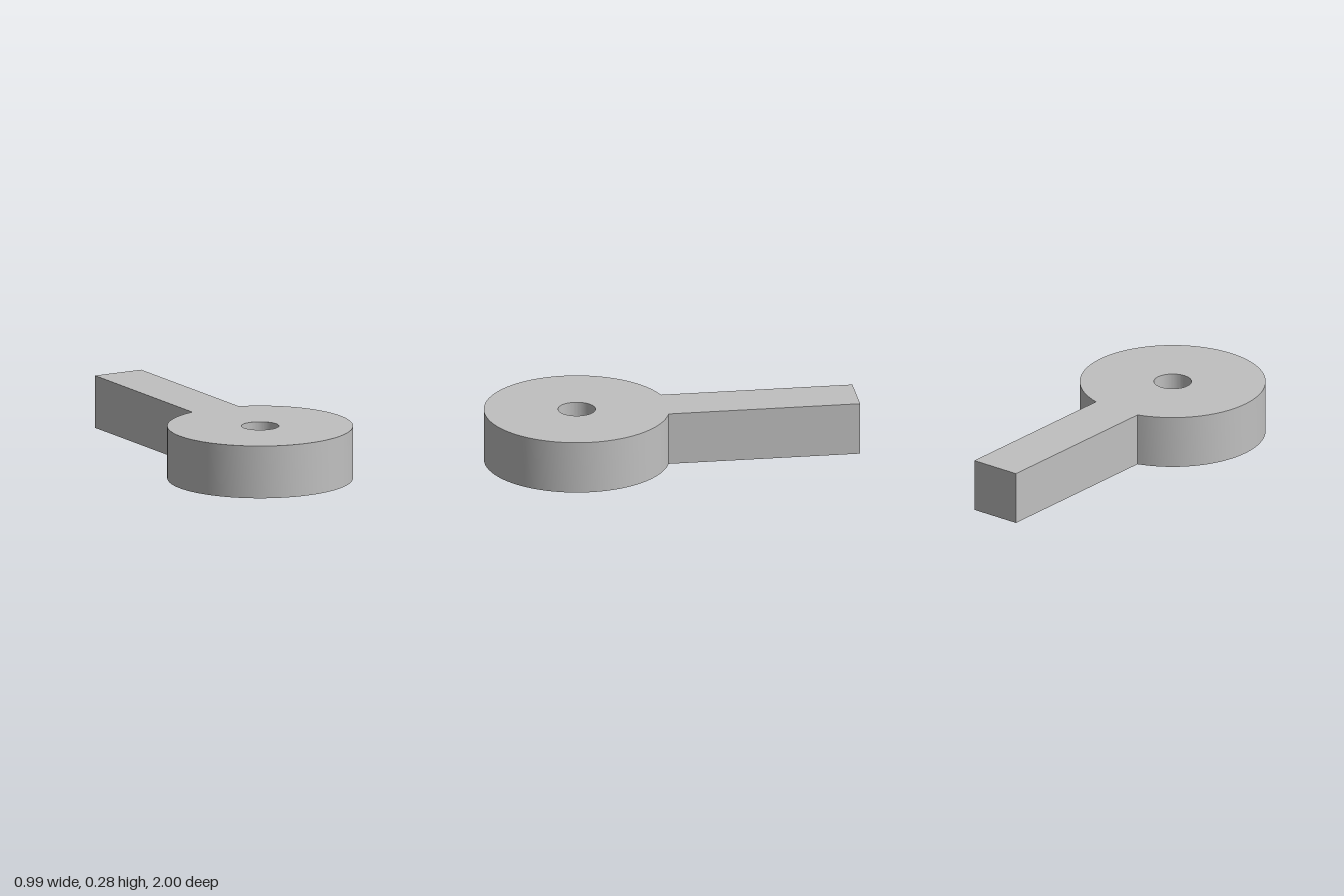
import * as THREE from 'three';
import { toCreasedNormals } from 'three/addons/utils/BufferGeometryUtils.js';

export function createModel() {
  const group = new THREE.Group();
  const grey = new THREE.MeshStandardMaterial({ color: 0xc0c0c0 });
  grey.name = 'plainGrey';

  const height = 0.285, radius = 0.495, centre = -0.505, halfArm = 0.1425;
  const join = Math.acos(halfArm / radius);

  // Outline: straight arm running into a round head
  const outline = new THREE.Shape();
  outline.moveTo(halfArm, 1);
  outline.lineTo(-halfArm, 1);
  outline.lineTo(-halfArm, centre + radius * Math.sin(join));
  outline.absarc(0, centre, radius, Math.PI - join, 2 * Math.PI + join, false);
  outline.closePath();

  // Bore through the head
  const bore = new THREE.Path();
  bore.absarc(0, centre, 0.1, 0, Math.PI * 2, true);
  outline.holes.push(bore);

  // Lay the outline flat so it extrudes upwards
  const solid = new THREE.ExtrudeGeometry(outline, { depth: height, bevelEnabled: false, curveSegments: 48 });
  solid.rotateX(-Math.PI / 2);
  const lever = new THREE.Mesh(toCreasedNormals(solid, Math.PI / 6), grey);
  lever.name = 'leverWithBoredHead';
  group.add(lever);
  return group;
}
